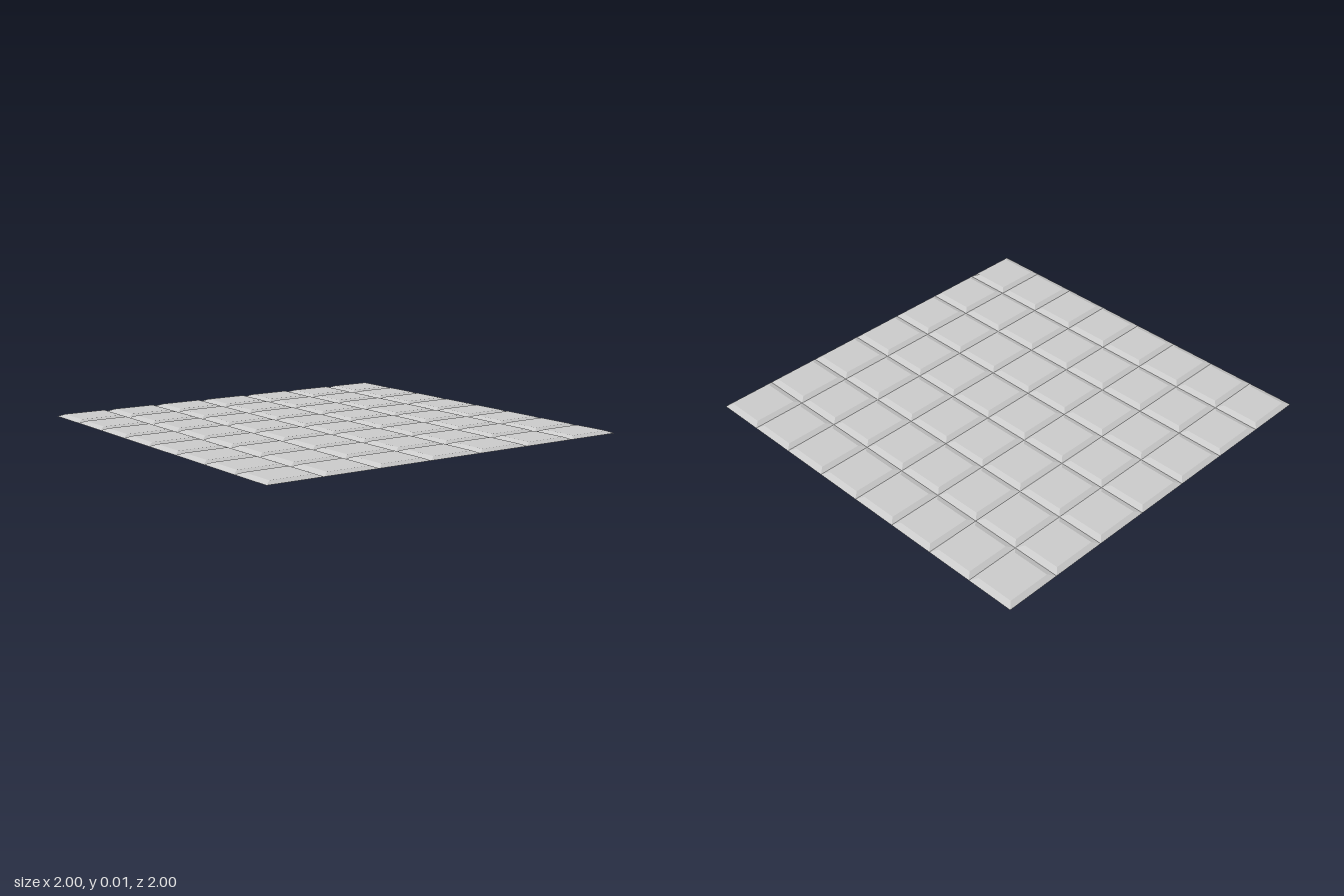
import * as THREE from 'three';

const COLUMNS = 7, ROWS = 8, SIZE = 2;
const HEIGHT = 0.012, BEVEL_X = 0.032, BEVEL_Z = 0.028;

// One open-bottomed tile: a raised flat top with four mitred bevels.
function tileGeometry(width, depth) {
  const ring = (w, d, y) => [[-w, y, d], [w, y, d], [w, y, -d], [-w, y, -d]];
  const lower = ring(width / 2, depth / 2, 0);
  const upper = ring(width / 2 - BEVEL_X, depth / 2 - BEVEL_Z, HEIGHT);
  const positions = [];
  const quad = (a, b, c, d) => positions.push(...a, ...b, ...c, ...a, ...c, ...d);

  quad(...upper);
  for (let i = 0; i < 4; i++) {
    const j = (i + 1) % 4;
    quad(lower[i], lower[j], upper[j], upper[i]);
  }

  const geometry = new THREE.BufferGeometry();
  geometry.setAttribute('position', new THREE.Float32BufferAttribute(positions, 3));
  geometry.computeVertexNormals();
  return geometry;
}

export function createModel() {
  const model = new THREE.Group();
  model.name = 'tiledPanel';

  const material = new THREE.MeshStandardMaterial({
    color: 0xcccccc, flatShading: true, side: THREE.DoubleSide,
  });
  const width = SIZE / COLUMNS, depth = SIZE / ROWS;
  const geometry = tileGeometry(width, depth);

  // Tiles laid edge to edge in rows from back to front
  for (let row = 0; row < ROWS; row++) {
    const rowGroup = new THREE.Group();
    rowGroup.name = `tileRow${row + 1}`;
    rowGroup.position.z = -SIZE / 2 + (row + 0.5) * depth;
    for (let column = 0; column < COLUMNS; column++) {
      const tile = new THREE.Mesh(geometry, material);
      tile.name = 'tile';
      tile.position.x = -SIZE / 2 + (column + 0.5) * width;
      rowGroup.add(tile);
    }
    model.add(rowGroup);
  }
  return model;
}
